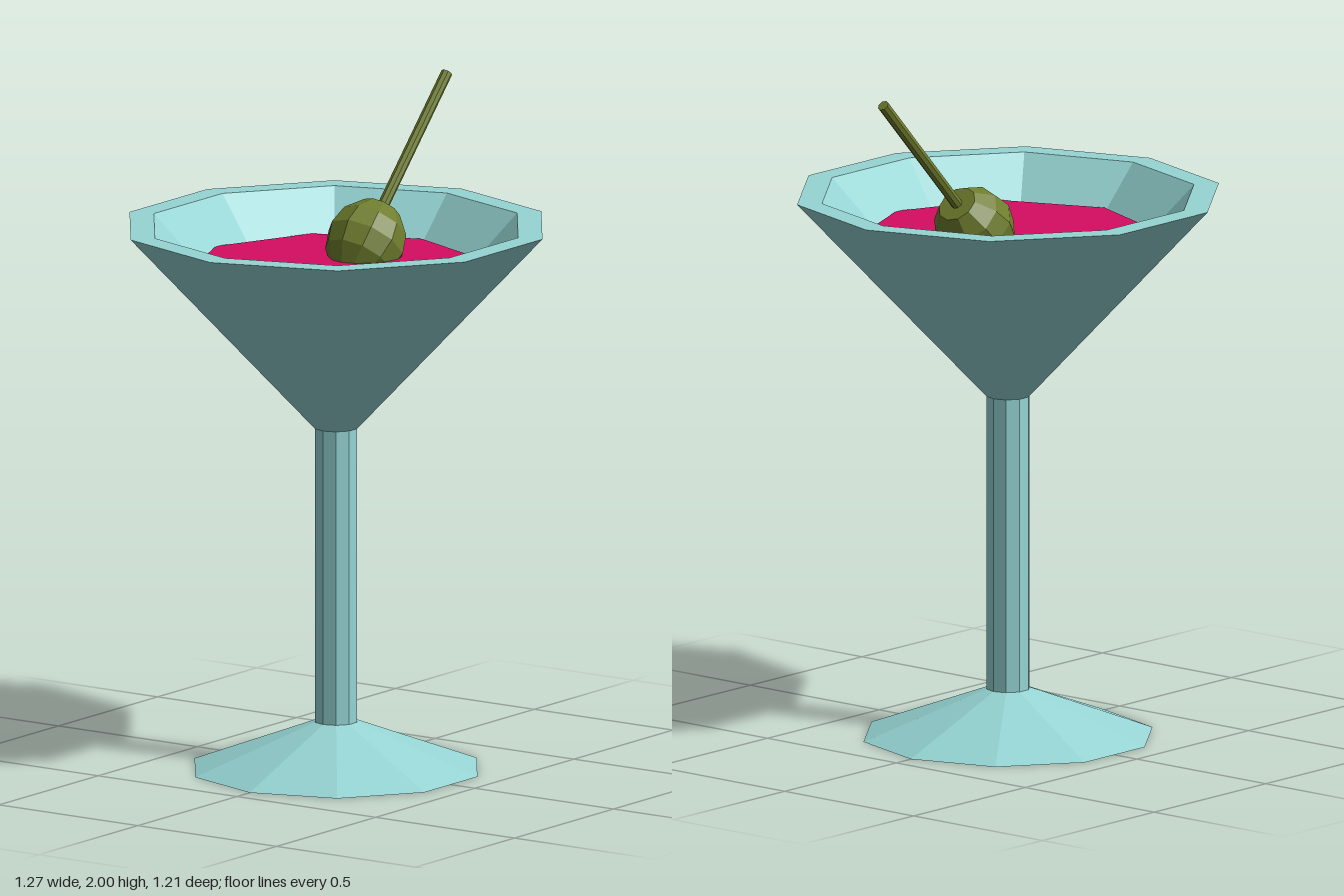
import * as THREE from 'three';

const glass = new THREE.MeshStandardMaterial({ color: 0x95d4d3, flatShading: true });
const drink = new THREE.MeshStandardMaterial({ color: 0xd50d62, flatShading: true, side: THREE.DoubleSide });
const green = new THREE.MeshStandardMaterial({ color: 0x6f7d2d, flatShading: true });

// Faceted solid of revolution with a corner on the x axis
function turned(name, profile, sides, material) {
  const points = profile.map(([r, y]) => new THREE.Vector2(r, y));
  const geometry = new THREE.LatheGeometry(points, sides, Math.PI / 2).toNonIndexed();
  geometry.computeVertexNormals();
  const mesh = new THREE.Mesh(geometry, material);
  mesh.name = name;
  return mesh;
}

export function createModel() {
  const model = new THREE.Group();
  model.name = 'cocktailGlass';

  // Ten-sided glass: foot, stem and hollow bowl with a flat rim
  model.add(
    turned('foot', [[0, 0], [0.435, 0], [0.065, 0.14], [0, 0.14]], 10, glass),
    turned('stem', [[0.065, 0.14], [0.065, 1.02]], 10, glass),
    turned('bowl', [[0, 1.02], [0.065, 1.02], [0.635, 1.625], [0.56, 1.625], [0, 1.05]], 10, glass)
  );

  // Eight-sided surface of the drink
  const liquid = new THREE.Mesh(new THREE.CircleGeometry(0.432, 8), drink);
  liquid.name = 'liquid';
  liquid.rotation.x = -Math.PI / 2;
  liquid.position.y = 1.51;
  model.add(liquid);

  // Olive and pick share one leaning axis
  const garnish = new THREE.Group();
  garnish.name = 'garnish';
  garnish.position.set(0.15, 1.55, 0);
  garnish.rotation.z = -0.753;
  const olive = turned('olive', [
    [0, -0.115], [0.06, -0.115], [0.105, -0.06], [0.12, 0],
    [0.105, 0.06], [0.06, 0.115], [0, 0.115]
  ], 10, green);
  const pick = turned('pick', [[0, 0], [0.017, 0], [0.017, 0.598], [0, 0.598]], 8, green);
  garnish.add(olive, pick);
  model.add(garnish);

  return model;
}
